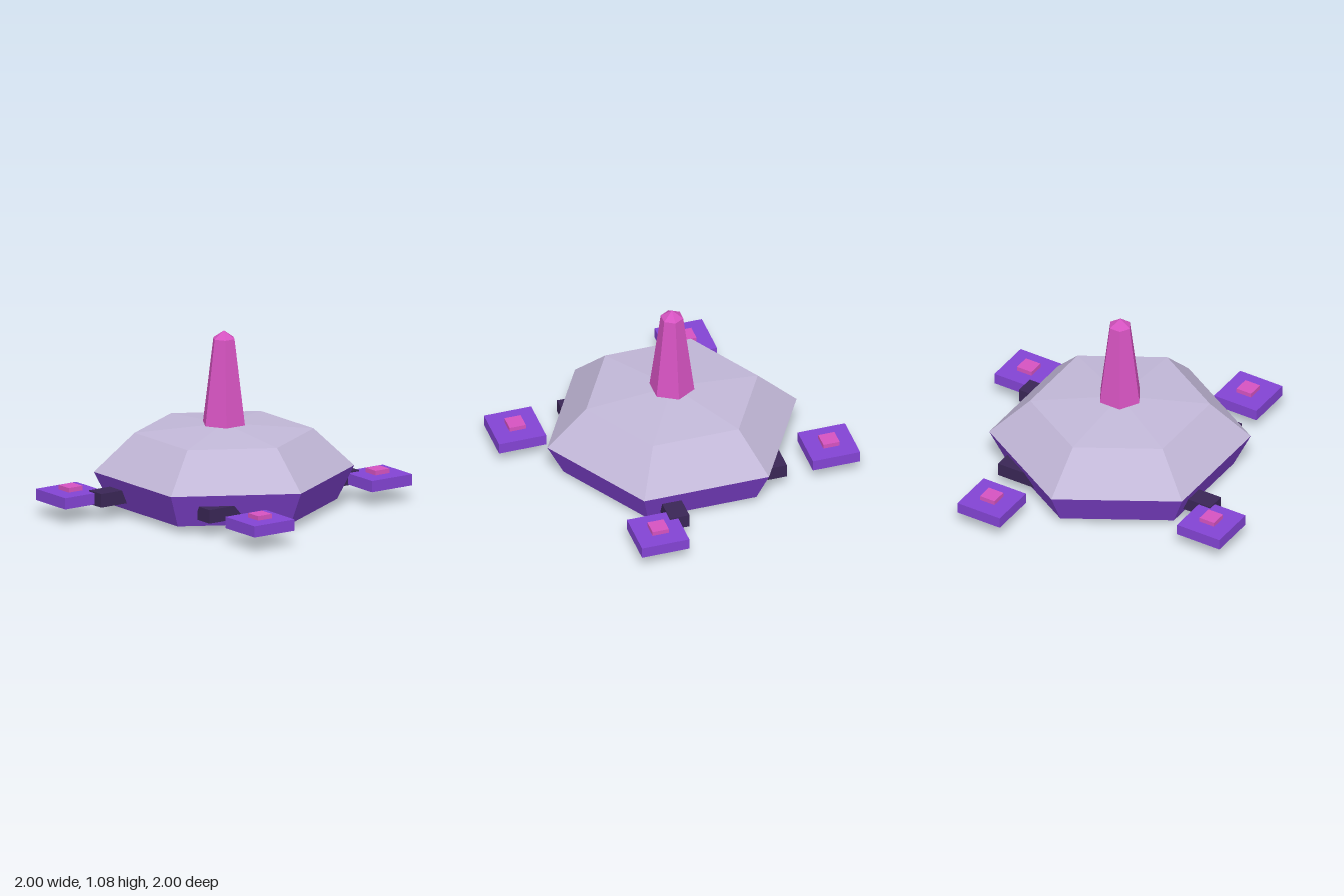
import * as THREE from 'three';

const material = (name, color) => {
  const m = new THREE.MeshStandardMaterial({ color, flatShading: true });
  m.name = name;
  return m;
};

export function createModel() {
  const model = new THREE.Group();
  model.name = 'hoverCraft';

  const lilac = material('pale lilac', 0xc2b8d8);
  const purple = material('purple', 0x8344d4);
  const pink = material('pink', 0xd653c1);
  const dark = material('dark violet', 0x3a2656);

  const add = (parent, name, geometry, mat, x = 0, y = 0, z = 0) => {
    const mesh = new THREE.Mesh(geometry, mat);
    mesh.name = name;
    mesh.position.set(x, y, z);
    parent.add(mesh);
    return mesh;
  };

  // Six-sided shell turned from a profile of [radius, height]; corners start on +z
  const hexShell = (profile) =>
    new THREE.LatheGeometry(profile.map(([r, y]) => new THREE.Vector2(r, y)), 6).toNonIndexed();

  // Hull: shallow keel, purple belt and sloping deck, with corners on the x axis
  const hull = new THREE.Group();
  hull.name = 'hull';
  hull.rotation.y = Math.PI / 2;
  model.add(hull);
  add(hull, 'keel', hexShell([[0, 0.005], [0.67, 0.045]]), lilac);
  add(hull, 'belt', hexShell([[0.67, 0.045], [0.77, 0.245]]), purple);
  add(hull, 'deck', hexShell([[0.77, 0.245], [0.53, 0.475], [0, 0.52]]), lilac);

  // Spire with a pointed cap, corners on the z axis
  add(model, 'spire', hexShell([[0, 0.52], [0.135, 0.52], [0.068, 1.035], [0, 1.082]]), pink);

  // Arms run along z and sink into the hull; pads hover around it in quarter turns
  const padGeometry = new THREE.BoxGeometry(0.292, 0.068, 0.292);
  const lightGeometry = new THREE.BoxGeometry(0.1, 0.027, 0.1);
  const armGeometry = new THREE.BoxGeometry(0.12, 0.082, 0.28);
  for (const side of [1, -1]) {
    for (const [x, z] of [[0.854, 0.36], [-0.36, 0.854]]) {
      const pod = new THREE.Group();
      pod.name = 'pod';
      pod.position.set(side * x, 0, side * z);
      add(pod, 'pad', padGeometry, purple, 0, 0.133, 0);
      add(pod, 'padLight', lightGeometry, pink, 0, 0.182, 0);
      model.add(pod);
    }
    add(model, 'sideArm', armGeometry, dark, side * 0.488, 0.134, side * 0.365);
    add(model, 'endArm', armGeometry, dark, side * -0.205, 0.134, side * 0.648);
  }

  return model;
}
